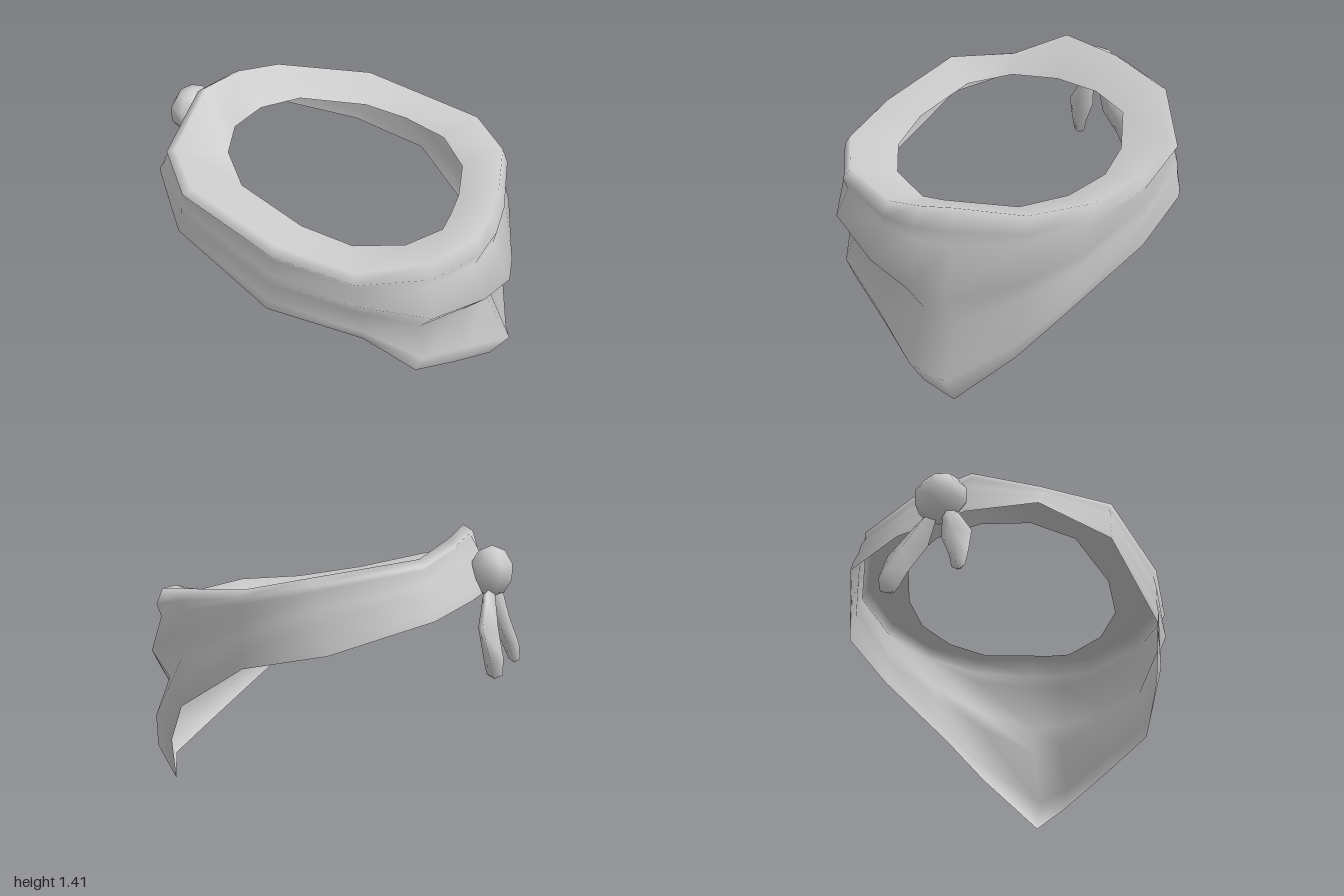
import * as THREE from 'three';

const material = new THREE.MeshStandardMaterial({ color: 0xcccccc, side: THREE.DoubleSide });

// Skin a list of cross-sections; loops along the path and/or around the section
function loft(name, rings, loopPath, loopSection) {
  const n = rings.length, m = rings[0].length, index = [];
  for (let i = 0; i < (loopPath ? n : n - 1); i++) {
    for (let j = 0; j < (loopSection ? m : m - 1); j++) {
      const k = (i + 1) % n, l = (j + 1) % m;
      const a = i * m + j, b = k * m + j, c = k * m + l, d = i * m + l;
      index.push(a, b, c, a, c, d);
    }
  }
  const geometry = new THREE.BufferGeometry();
  geometry.setAttribute('position', new THREE.Float32BufferAttribute(rings.flat(2), 3));
  geometry.setIndex(index);
  geometry.computeVertexNormals();
  const mesh = new THREE.Mesh(geometry, material);
  mesh.name = name;
  return mesh;
}

// Cloth stations around the neck: crest, inner edge and hem
const stations = [
  { crest: [0.10, 1.12, -0.79], inner: [0.10, 1.07, -0.59], hem: [0.10, 0.75, -0.82] },
  { crest: [0.46, 1.11, -0.73], inner: [0.35, 1.05, -0.54], hem: [0.53, 0.51, -0.64] },
  { crest: [0.69, 1.09, -0.53], inner: [0.53, 1.02, -0.38], hem: [0.69, 0.29, -0.47] },
  { crest: [0.80, 1.08, -0.20], inner: [0.61, 1.01, -0.15], hem: [0.83, 0.00, -0.19] },
  { crest: [0.83, 1.05, -0.02], inner: [0.63, 0.99, -0.01], hem: [0.90, 0.11, -0.06] },
  { crest: [0.84, 1.03, 0.15], inner: [0.64, 0.98, 0.11], hem: [0.81, 0.27, 0.25] },
  { crest: [0.74, 1.07, 0.48], inner: [0.55, 1.01, 0.34], hem: [0.72, 0.42, 0.53] },
  { crest: [0.47, 1.08, 0.72], inner: [0.35, 1.04, 0.50], hem: [0.50, 0.65, 0.67] },
  { crest: [0.10, 1.14, 0.78], inner: [0.10, 1.10, 0.55], hem: [0.06, 0.77, 0.82] },
  { crest: [-0.40, 1.25, 0.72], inner: [-0.26, 1.18, 0.50], hem: [-0.47, 1.00, 0.76] },
  { crest: [-0.67, 1.24, 0.47], inner: [-0.45, 1.21, 0.33], hem: [-0.76, 1.10, 0.50] },
  { crest: [-0.70, 1.41, 0.13], inner: [-0.56, 1.20, 0.10], hem: [-0.85, 1.09, 0.16] },
  { crest: [-0.71, 1.35, -0.18], inner: [-0.56, 1.18, -0.15], hem: [-0.84, 1.05, -0.22] },
  { crest: [-0.65, 1.26, -0.48], inner: [-0.45, 1.15, -0.38], hem: [-0.75, 0.98, -0.54] },
  { crest: [-0.22, 1.18, -0.77], inner: [-0.13, 1.11, -0.55], hem: [-0.32, 0.83, -0.80] },
];

// Point between crest and hem, pushed away from the vertical axis
function outerPoint(s, t, push) {
  const p = new THREE.Vector3(...s.crest).lerp(new THREE.Vector3(...s.hem), t);
  const radius = Math.hypot(p.x, p.z);
  p.x *= 1 + push / radius;
  p.z *= 1 + push / radius;
  return p.toArray();
}

// Section runs from the inner edge over the rolled crest and down to the hem;
// folds swell toward the draped corner, the lower one mostly behind it
function clothSection(s) {
  const [x, , z] = s.crest;
  const drape = Math.max(0, x / Math.hypot(x, z)) ** 2;
  return [
    s.inner,
    s.crest,
    outerPoint(s, 0.1, 0.035),
    outerPoint(s, 0.18, 0.015),
    outerPoint(s, 0.4, 0.02 + 0.085 * drape),
    outerPoint(s, 0.58, 0.01 - 0.03 * drape),
    outerPoint(s, 0.83, 0.01 + (z < 0 ? 0.1 : 0.045) * drape),
    s.hem,
  ];
}

// Flat, pointed tail: diamond sections [x, y, z, halfThickness, halfWidth]
function tail(name, path) {
  return loft(name, path.map(([x, y, z, a, b]) => [
    [x + a, y, z], [x, y, z - b], [x - a, y, z], [x, y, z + b],
  ]), false, true);
}

export function createModel() {
  const group = new THREE.Group();
  group.name = 'neckerchief';
  group.add(loft('foldedCloth', stations.map(clothSection), true, false));

  // Tied knot
  const knot = new THREE.Mesh(new THREE.SphereGeometry(1, 7, 5), material);
  knot.name = 'knot';
  knot.scale.set(0.11, 0.13, 0.14);
  knot.position.set(-0.875, 1.18, 0.035);
  group.add(knot);

  // Two loose ends hanging from the knot
  group.add(tail('backTail', [
    [-0.88, 1.12, 0.0, 0.005, 0.01],
    [-0.88, 1.07, -0.03, 0.03, 0.05],
    [-0.90, 0.91, -0.12, 0.05, 0.11],
    [-0.94, 0.77, -0.17, 0.05, 0.08],
    [-0.95, 0.69, -0.18, 0.04, 0.05],
    [-0.95, 0.67, -0.18, 0.002, 0.002],
  ]));
  group.add(tail('frontTail', [
    [-0.88, 1.12, 0.07, 0.005, 0.01],
    [-0.89, 1.06, 0.10, 0.035, 0.045],
    [-0.90, 0.94, 0.14, 0.05, 0.08],
    [-0.95, 0.80, 0.18, 0.045, 0.05],
    [-0.97, 0.72, 0.19, 0.03, 0.035],
    [-0.97, 0.70, 0.19, 0.002, 0.002],
  ]));
  return group;
}
